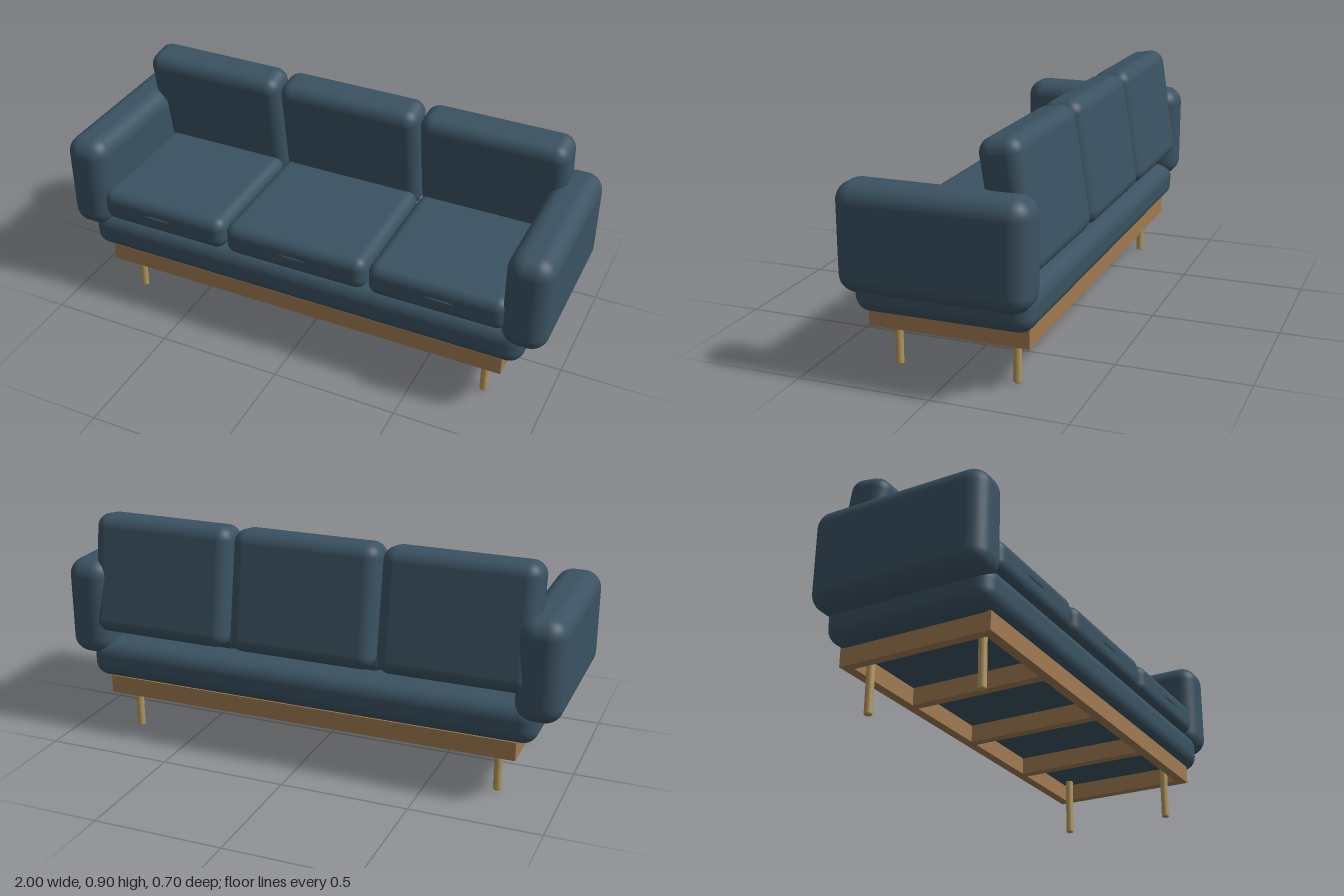
import * as THREE from 'three';
import { RoundedBoxGeometry } from 'three/addons/geometries/RoundedBoxGeometry.js';

export function createModel() {
  const sofa = new THREE.Group();
  sofa.name = 'sofa';

  const material = (name, color) => {
    const m = new THREE.MeshStandardMaterial({ color });
    m.name = name;
    return m;
  };
  const fabric = material('blue fabric', 0x3b5262);
  const wood = material('frame wood', 0xa07a52);
  const paleWood = material('leg wood', 0xb2965f);

  const add = (name, geometry, mat, x, y, z) => {
    const mesh = new THREE.Mesh(geometry, mat);
    mesh.name = name;
    mesh.position.set(x, y, z);
    sofa.add(mesh);
    return mesh;
  };
  const cushion = (w, h, d, r) => new RoundedBoxGeometry(w, h, d, 6, r);

  // Upholstered base and arms
  add('base', cushion(1.83, 0.157, 0.668, 0.06), fabric, 0, 0.3125, 0);
  for (const s of [-1, 1]) {
    add('arm', cushion(0.176, 0.394, 0.704, 0.068), fabric, s * 0.912, 0.527, 0);
  }

  // Three seat and back cushions; the outer ones tuck into the arms
  for (const s of [-1, 0, 1]) {
    const seatWidth = s ? 0.546 : 0.59;
    add('seatCushion', cushion(seatWidth, 0.134, 0.56, 0.045), fabric, s * 0.577, 0.448, 0.058);
    const back = add('backCushion', cushion(0.588, 0.474, 0.16, 0.054), fabric, s * 0.597, 0.662, -0.239);
    back.rotation.x = 0.16;

    // Slim raised seam on the cushion front
    const seam = add('seatSeam', new THREE.SphereGeometry(1, 24, 8), fabric, s * 0.595, 0.452, 0.338);
    seam.scale.set(0.058, 0.004, 0.004);
  }

  // Wooden frame: long rails, end rails and cross slats
  const frameHeight = 0.073, frameY = 0.2015;
  for (const s of [-1, 1]) {
    add('longRail', new THREE.BoxGeometry(1.68, frameHeight, 0.038), wood, 0, frameY, s * 0.284);
  }
  for (const x of [-0.821, -0.42, 0, 0.42, 0.821]) {
    const name = Math.abs(x) > 0.8 ? 'endRail' : 'crossSlat';
    add(name, new THREE.BoxGeometry(0.038, frameHeight, 0.53), wood, x, frameY, 0);
  }

  // Round legs with softened feet
  const legProfile = [[0, 0], [0.012, 0], [0.0145, 0.002], [0.0155, 0.006], [0.0155, 0.24]]
    .map(([r, y]) => new THREE.Vector2(r, y));
  for (const x of [-0.76, 0.76]) {
    for (const z of [-0.227, 0.227]) {
      add('leg', new THREE.LatheGeometry(legProfile, 24), paleWood, x, 0, z);
    }
  }

  return sofa;
}
